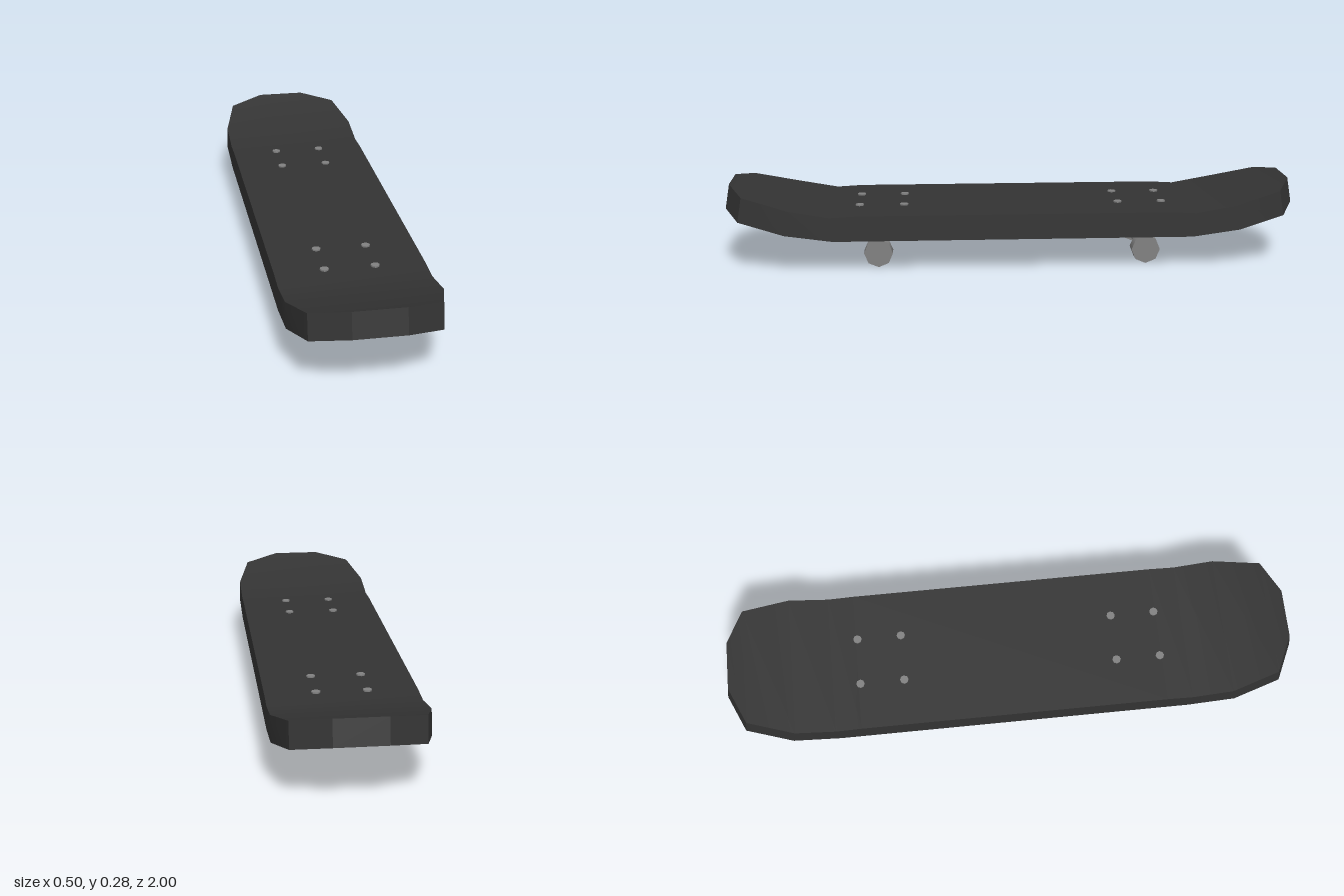
import * as THREE from 'three';
import { toCreasedNormals } from 'three/addons/utils/BufferGeometryUtils.js';

const deckMat = new THREE.MeshStandardMaterial({ color: 0x333333 });
const metalMat = new THREE.MeshStandardMaterial({ color: 0x808080 });

function add(parent, name, geometry, material, x = 0, y = 0, z = 0) {
  const mesh = new THREE.Mesh(geometry, material);
  mesh.name = name;
  mesh.position.set(x, y, z);
  parent.add(mesh);
  return mesh;
}

// Deck: rectangular cross-sections lofted along z, kicked up at both ends
function deckGeometry() {
  // half width, bottom z, bottom y, top z, top y
  const half = [
    [0.25, 0.54, 0.112, 0.54, 0.2],
    [0.25, 0.62, 0.112, 0.63, 0.195],
    [0.25, 0.785, 0.135, 0.77, 0.22],
    [0.208, 0.945, 0.174, 0.93, 0.26],
    [0.085, 1.0, 0.196, 0.985, 0.282],
  ];
  const back = half.map(([w, bz, by, tz, ty]) => [w, -bz, by, -tz, ty]).reverse();
  const rings = [...back, ...half].map(([w, bz, by, tz, ty]) => [
    [-w, by, bz], [w, by, bz], [w, ty, tz], [-w, ty, tz],
  ]);
  const pos = [];
  const quad = (a, b, c, d) => pos.push(...a, ...b, ...c, ...a, ...c, ...d);
  for (let i = 0; i < rings.length - 1; i++) {
    const a = rings[i], b = rings[i + 1];
    for (let j = 0; j < 4; j++) {
      const k = (j + 1) % 4;
      quad(a[j], a[k], b[k], b[j]);
    }
  }
  const first = rings[0], last = rings[rings.length - 1];
  quad(first[3], first[2], first[1], first[0]);
  quad(...last);
  const geo = new THREE.BufferGeometry();
  geo.setAttribute('position', new THREE.Float32BufferAttribute(pos, 3));
  return toCreasedNormals(geo, 0.35);
}

// Cylinder lying along x, with a corner pointing straight up
function crossCylinder(radius, length) {
  return new THREE.CylinderGeometry(radius, radius, length, 8).rotateZ(Math.PI / 2);
}

// Truck: axle, tapered hanger and two wheels
function makeTruck(z) {
  const truck = new THREE.Group();
  truck.name = z > 0 ? 'frontTruck' : 'rearTruck';
  truck.position.z = z;

  add(truck, 'axle', toCreasedNormals(crossCylinder(0.025, 0.27), 0.5), metalMat, 0, 0.051, 0);

  const profile = new THREE.Shape([
    new THREE.Vector2(-0.088, 0.068), new THREE.Vector2(0.088, 0.068),
    new THREE.Vector2(0.046, 0.115), new THREE.Vector2(-0.046, 0.115),
  ]);
  const hanger = new THREE.ExtrudeGeometry(profile, { depth: 0.0354, bevelEnabled: false });
  add(truck, 'hanger', hanger, metalMat, 0, 0, -0.0177);

  for (const side of [-1, 1]) {
    add(truck, side > 0 ? 'leftWheel' : 'rightWheel', crossCylinder(0.05, 0.05), metalMat,
      side * 0.153, 0.05, 0);
  }
  return truck;
}

export function createModel() {
  const board = new THREE.Group();
  board.name = 'skateboard';
  add(board, 'deck', deckGeometry(), deckMat);

  for (const end of [-1, 1]) {
    board.add(makeTruck(end * 0.468));
    // Four mounting bolts above each truck
    for (const x of [-0.085, 0.083]) {
      for (const z of [0.378, 0.533]) {
        add(board, 'bolt', new THREE.CylinderGeometry(0.015, 0.015, 0.02, 8), metalMat, x, 0.195, end * z);
      }
    }
  }
  return board;
}
